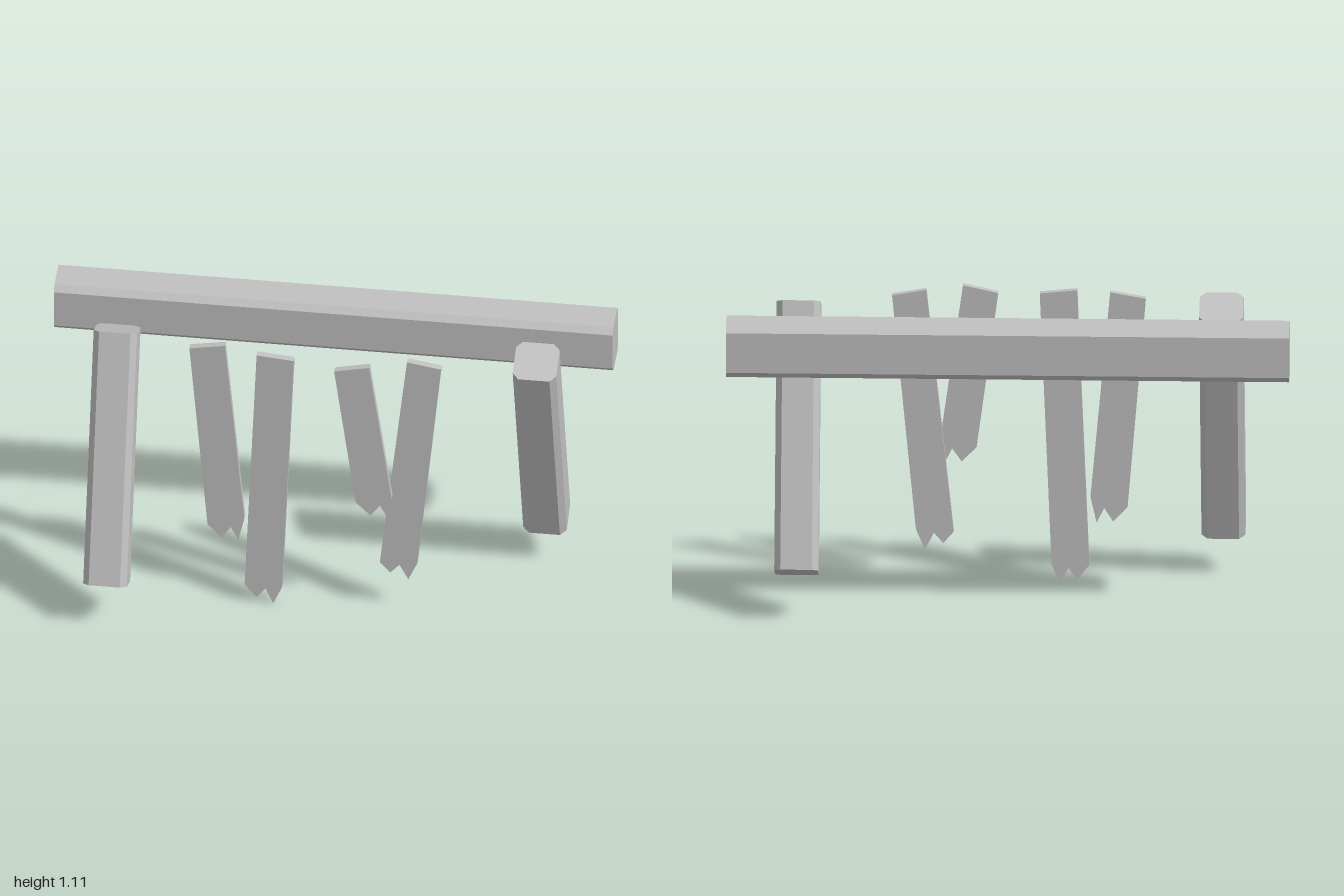
import * as THREE from 'three';

const timber = new THREE.MeshStandardMaterial({ color: 0xc0c0c0 });
timber.name = 'grey timber';

// Flat-faced prism extruded along +z from a list of [x, y] corners
function prism(points, depth) {
  const shape = new THREE.Shape(points.map(([x, y]) => new THREE.Vector2(x, y)));
  return new THREE.ExtrudeGeometry(shape, { depth, bevelEnabled: false });
}

// Rectangle with cut corners; a, b are half sizes, ca, cb the cuts
function octagon(a, b, ca, cb) {
  return [
    [a, b - cb], [a - ca, b], [ca - a, b], [-a, b - cb],
    [-a, cb - b], [ca - a, -b], [a - ca, -b], [a, cb - b],
  ];
}

function part(name, geometry) {
  const mesh = new THREE.Mesh(geometry, timber);
  mesh.name = name;
  return mesh;
}

export function createModel() {
  const model = new THREE.Group();
  model.name = 'brokenFence';

  // Long horizontal rail behind the slats
  const rail = prism(octagon(0.077, 0.096, 0.02, 0.022), 2);
  rail.translate(0, 0, -1).rotateY(Math.PI / 2).translate(0, 1.002, -0.263);
  model.add(part('rail', rail));

  // Leaning posts with slanted ends, one tipping each way
  for (const side of [-1, 1]) {
    const post = prism(octagon(0.078, 0.5, 0.022, 0.15), 1);
    post.applyMatrix4(new THREE.Matrix4().makeBasis(
      new THREE.Vector3(1, 0, 0),
      new THREE.Vector3(0, 0.065, 0.135),
      new THREE.Vector3(0, -0.91, 0.295),
    ));
    post.translate(0, 1.078, -0.002);
    post.computeVertexNormals();
    const mesh = part(side < 0 ? 'rightPost' : 'leftPost', post);
    mesh.position.x = side * 0.75;
    if (side > 0) mesh.rotation.y = Math.PI;
    model.add(mesh);
  }

  // Splintered slats: back face z, then outline from the top left corner
  const slats = [
    [0.064, [[-0.48, 1.085], [-0.415, 0.305], [-0.364, 0.25], [-0.332, 0.3],
      [-0.305, 0.246], [-0.283, 0.342], [-0.353, 1.108]]],
    [0.098, [[-0.235, 1.103], [-0.278, 0.075], [-0.235, 0.021], [-0.203, 0.064],
      [-0.176, 0], [-0.144, 0.075], [-0.102, 1.09]]],
    [0.127, [[0.046, 1.08], [0.123, 0.503], [0.176, 0.449], [0.21, 0.497],
      [0.235, 0.447], [0.252, 0.53], [0.171, 1.108]]],
    [0.075, [[0.3, 1.106], [0.203, 0.203], [0.24, 0.16], [0.273, 0.198],
      [0.305, 0.137], [0.337, 0.21], [0.422, 1.085]]],
  ];
  slats.forEach(([z, outline], i) => {
    const slat = part('slat' + (i + 1), prism(outline, 0.025));
    slat.position.z = z;
    model.add(slat);
  });

  return model;
}
